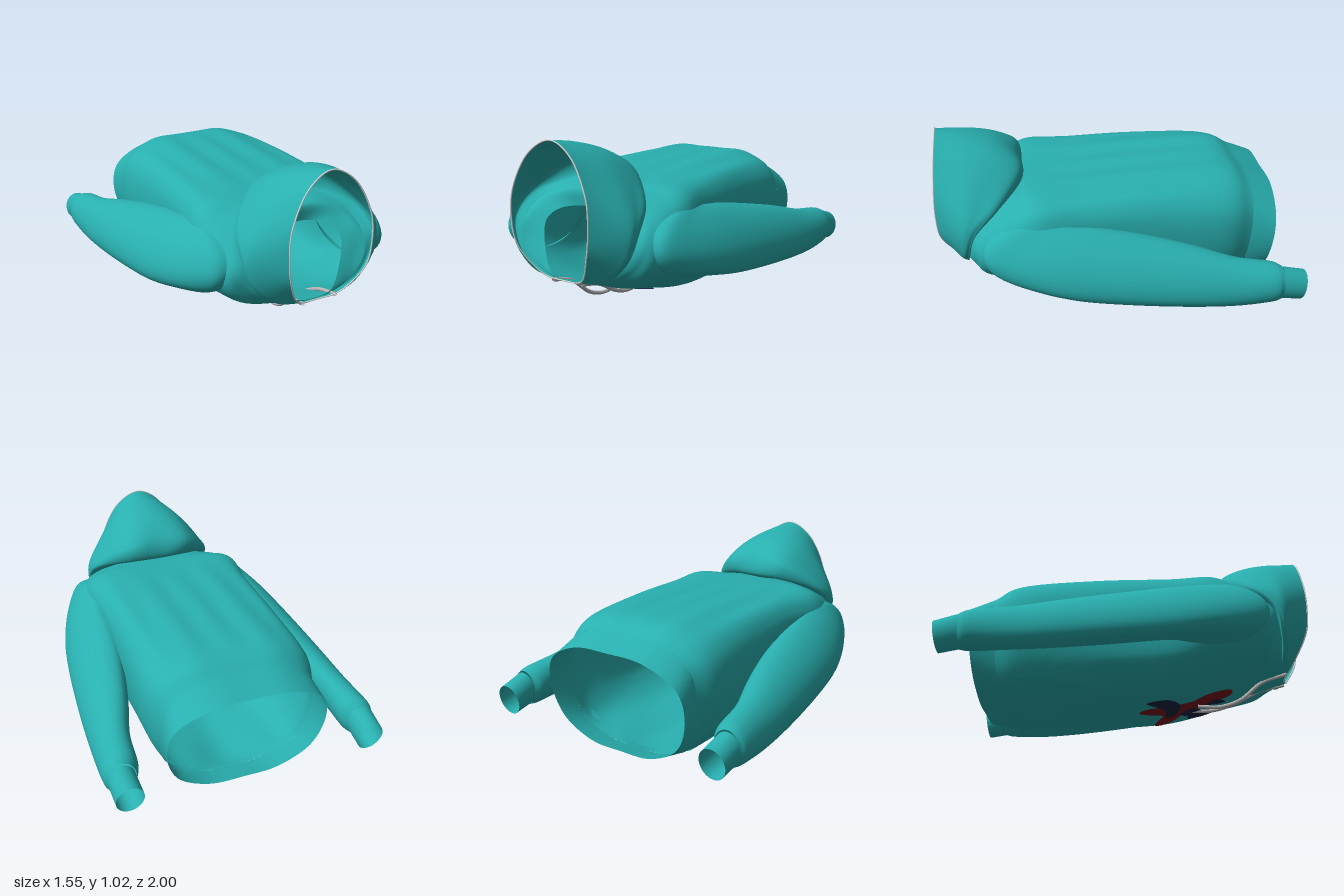
import * as THREE from 'three';

const mat = (name, color) => new THREE.MeshStandardMaterial({ name, color, side: THREE.DoubleSide });
const V = (x, y, z) => new THREE.Vector3(x, y, z);

// Full ring from half of its points, given from the belly over the left side to the back
function mirrored(half) {
  const pts = half.map(p => V(...p));
  for (let i = half.length - 2; i > 0; i--) pts.push(V(-half[i][0], half[i][1], half[i][2]));
  return pts;
}

// Smooth skin through closed rings; adjust may move each finished point
function loft(rings, around, along, adjust = p => p) {
  const curves = rings.map(r => new THREE.CatmullRomCurve3(r, true, 'catmullrom', 0.5));
  const pos = [], index = [];
  const lines = [];
  for (let j = 0; j < around; j++) {
    lines.push(new THREE.CatmullRomCurve3(curves.map(c => c.getPoint(j / around)), false, 'catmullrom', 0.5));
  }
  for (let i = 0; i <= along; i++) {
    for (let j = 0; j < around; j++) pos.push(...adjust(lines[j].getPoint(i / along)).toArray());
  }
  for (let i = 0; i < along; i++) {
    for (let j = 0; j < around; j++) {
      const k = (j + 1) % around;
      const a = i * around + j, b = i * around + k, c = a + around, d = b + around;
      index.push(a, b, c, b, d, c);
    }
  }
  const g = new THREE.BufferGeometry();
  g.setAttribute('position', new THREE.Float32BufferAttribute(pos, 3));
  g.setIndex(index);
  g.computeVertexNormals();
  return g;
}

export function createModel() {
  const group = new THREE.Group();
  const teal = mat('teal fabric', 0x29afaf);
  const red = mat('red print', 0x7e171c);
  const navy = mat('navy print', 0x1a2340);
  const cord = mat('grey cord', 0xb8b8b8);
  const binding = mat('pale binding', 0xd8d8d8);
  const add = (name, geometry, material) => {
    const m = new THREE.Mesh(geometry, material);
    m.name = name;
    group.add(m);
    return m;
  };

  // Seams shared by neighbouring parts
  const neckSeam = mirrored([[0, .262, .86], [.20, .29, .84], [.32, .40, .83], [.355, .53, .79],
    [.31, .65, .67], [.17, .715, .60], [0, .715, .585]]);
  const hemSeam = mirrored([[0, .025, -.70], [.2, .05, -.71], [.37, .14, -.72], [.435, .36, -.745],
    [.40, .58, -.765], [.23, .685, -.78], [0, .695, -.78]]);
  const faceEdge = mirrored([[0, .27, .88], [.13, .30, .91], [.22, .45, .985], [.245, .60, 1.0],
    [.23, .76, .995], [.14, .935, .98], [0, 1.015, .97]]);

  // Hem band
  add('hemBand', loft([
    mirrored([[0, .07, -.85], [.2, .08, -.85], [.38, .18, -.86], [.45, .36, -.88],
      [.41, .53, -.90], [.22, .63, -.92], [0, .64, -.92]]),
    hemSeam], 80, 4), teal);

  // Torso with long soft folds down the back
  const fold = p => {
    const fade = Math.max(0, Math.sin((p.z + .75) / 1.2 * Math.PI)) * (p.z < .45 ? 1 : 0);
    if (p.y > .65) p.y += .007 * fade * Math.cos(p.x * 32);
    else if (p.y < .2) p.y += .006 * fade * Math.cos(p.x * 22 + 3);
    return p;
  };
  const torso = add('torso', loft([
    hemSeam,
    mirrored([[0, .008, -.58], [.2, .055, -.58], [.38, .13, -.58], [.475, .36, -.58],
      [.45, .62, -.6], [.27, .745, -.62], [0, .757, -.62]]),
    mirrored([[0, .035, -.2], [.24, .065, -.2], [.42, .18, -.2], [.475, .42, -.2],
      [.45, .65, -.2], [.31, .745, -.2], [0, .757, -.2]]),
    mirrored([[0, .078, .2], [.24, .09, .2], [.43, .2, .2], [.47, .42, .2],
      [.465, .64, .2], [.34, .735, .2], [0, .745, .2]]),
    mirrored([[0, .145, .5], [.24, .165, .5], [.43, .27, .5], [.50, .42, .5],
      [.50, .62, .46], [.38, .73, .44], [0, .735, .44]]),
    mirrored([[0, .21, .69], [.24, .225, .71], [.40, .30, .73], [.48, .43, .72],
      [.455, .61, .63], [.32, .71, .54], [0, .73, .53]]),
    mirrored([[0, .25, .82], [.22, .275, .81], [.37, .37, .80], [.43, .50, .78],
      [.38, .635, .67], [.23, .715, .575], [0, .72, .56]]),
    neckSeam], 96, 64, fold), teal);

  // Hood: from the neck seam, over the rounded back, to the face opening
  add('hood', loft([
    neckSeam,
    mirrored([[0, .265, .86], [.22, .29, .845], [.35, .40, .83], [.395, .55, .79],
      [.35, .675, .66], [.18, .745, .525], [0, .755, .505]]),
    mirrored([[0, .265, .865], [.22, .29, .855], [.355, .41, .84], [.40, .56, .80],
      [.36, .70, .68], [.19, .83, .53], [0, .855, .53]]),
    mirrored([[0, .267, .867], [.21, .29, .865], [.35, .41, .86], [.40, .57, .825],
      [.355, .71, .74], [.19, .89, .645], [0, .94, .64]]),
    mirrored([[0, .27, .87], [.20, .295, .88], [.32, .42, .89], [.375, .58, .87],
      [.325, .74, .84], [.175, .925, .80], [0, .988, .80]]),
    faceEdge], 96, 40), teal);

  // Pale binding along the face opening
  add('faceBinding', new THREE.TubeGeometry(
    new THREE.CatmullRomCurve3(faceEdge, true, 'catmullrom', 0.5), 90, .004, 6, true), binding);

  // Collar rolled inside the neck
  add('neckLining', loft([
    mirrored([[0, .27, .86], [.12, .29, .85], [.20, .42, .80], [.23, .53, .75],
      [.185, .59, .70], [.10, .61, .65], [0, .615, .64]]),
    mirrored([[0, .268, .862], [.16, .295, .845], [.28, .42, .81], [.31, .55, .77],
      [.26, .64, .69], [.14, .69, .65], [0, .695, .64]]),
    neckSeam], 72, 10), teal);

  // Sleeves: [inner x, inner z, outer x, outer z, centre y, half height, tilt]
  const sleeve = [
    [.41, .22, .42, .76, .47, .17, 0], [.44, .14, .52, .735, .46, .182, .01],
    [.46, .05, .605, .58, .442, .178, .04], [.46, -.03, .67, .36, .42, .18, .06],
    [.475, -.20, .712, .08, .385, .172, .06], [.52, -.42, .745, -.28, .34, .155, .05],
    [.57, -.62, .765, -.58, .30, .13, .03], [.58, -.80, .775, -.80, .285, .115, .01],
    [.605, -.86, .76, -.86, .278, .10, 0]];
  const cuff = [[.61, -.85, .76, -.85, .278, .093, 0], [.605, -.985, .755, -.985, .248, .086, 0]];
  const sleeveRing = ([xi, zi, xo, zo, y, ry, tilt], s, slant) => {
    const pts = [];
    for (let i = 0; i < 12; i++) {
      const a = -s * i / 12 * Math.PI * 2, c = Math.cos(a), n = Math.sin(a);
      pts.push(V(s * ((xi + xo) / 2 + c * (xo - xi) / 2 - s * -tilt * n * -s), y + ry * n,
        (zi + zo) / 2 + c * (zo - zi) / 2 - slant * n));
    }
    return pts;
  };
  for (const [side, s] of [['left', 1], ['right', -1]]) {
    add(side + 'Sleeve', loft(sleeve.map(r => sleeveRing(r, s, 0)), 48, 48), teal);
    add(side + 'Cuff', loft(cuff.map(r => sleeveRing(r, s, .015)), 40, 3), teal);
  }

  // Thin patches laid on the chest side, following the torso
  const ray = new THREE.Raycaster();
  const lay = lift => p => {
    ray.set(V(p.x, -1, p.z), V(0, 1, 0));
    const hit = ray.intersectObject(torso)[0];
    if (hit) p.y = hit.point.y - lift;
    return p;
  };
  const patch = (name, outline, material, lift) => {
    const edge = outline.map(([x, z]) => V(x, 0, z));
    const mid = edge.reduce((m, p) => m.add(p), V(0, 0, 0)).divideScalar(edge.length);
    add(name, loft([edge.map(() => mid.clone()), edge], 40, 7, lay(lift)), material);
  };
  patch('pocket', [[0, -.12], [.2, -.12], [.28, -.14], [.37, -.36], [.385, -.6], [.36, -.67],
    [0, -.68], [-.36, -.67], [-.385, -.6], [-.37, -.36], [-.28, -.14], [-.2, -.12]], teal, .007);

  // Chest print
  patch('printRedShoulder', [[-.15, .43], [-.13, .55], [-.04, .55], [-.01, .42], [-.08, .34]], red, .006);
  patch('printRedBody', [[-.09, .37], [.02, .42], [.08, .30], [.05, .17], [-.06, .19]], red, .005);
  patch('printRedArm', [[.03, .28], [.14, .25], [.24, .16], [.21, .12], [.05, .18]], red, .006);
  patch('printRedLeg', [[-.04, .24], [-.09, .14], [-.07, .05], [-.03, .05], [.03, .19]], red, .006);
  patch('printNavyHead', [[.10, .43], [.16, .48], [.21, .41], [.18, .32], [.11, .33]], navy, .007);
  patch('printNavyArm', [[-.05, .47], [.02, .53], [.04, .50], [.0, .42]], navy, .008);
  patch('printNavyChest', [[.0, .34], [.10, .40], [.13, .33], [.06, .27]], navy, .008);
  patch('printNavyBelt', [[-.19, .20], [-.08, .27], [.05, .24], [.07, .19], [-.05, .18], [-.17, .08]], navy, .008);

  // Drawstrings hanging from the face opening
  const string = (name, pts) => add(name, new THREE.TubeGeometry(
    new THREE.CatmullRomCurve3(pts.map(p => V(...p))), 32, .011, 8), cord);
  string('rightDrawstring', [[-.08, .265, .88], [-.07, .22, .74], [-.055, .12, .61], [-.045, .085, .5], [-.04, .09, .37]]);
  string('leftDrawstring', [[.115, .275, .89], [.11, .235, .74], [.095, .15, .58], [.085, .11, .46], [.08, .105, .34]]);

  return group;
}
